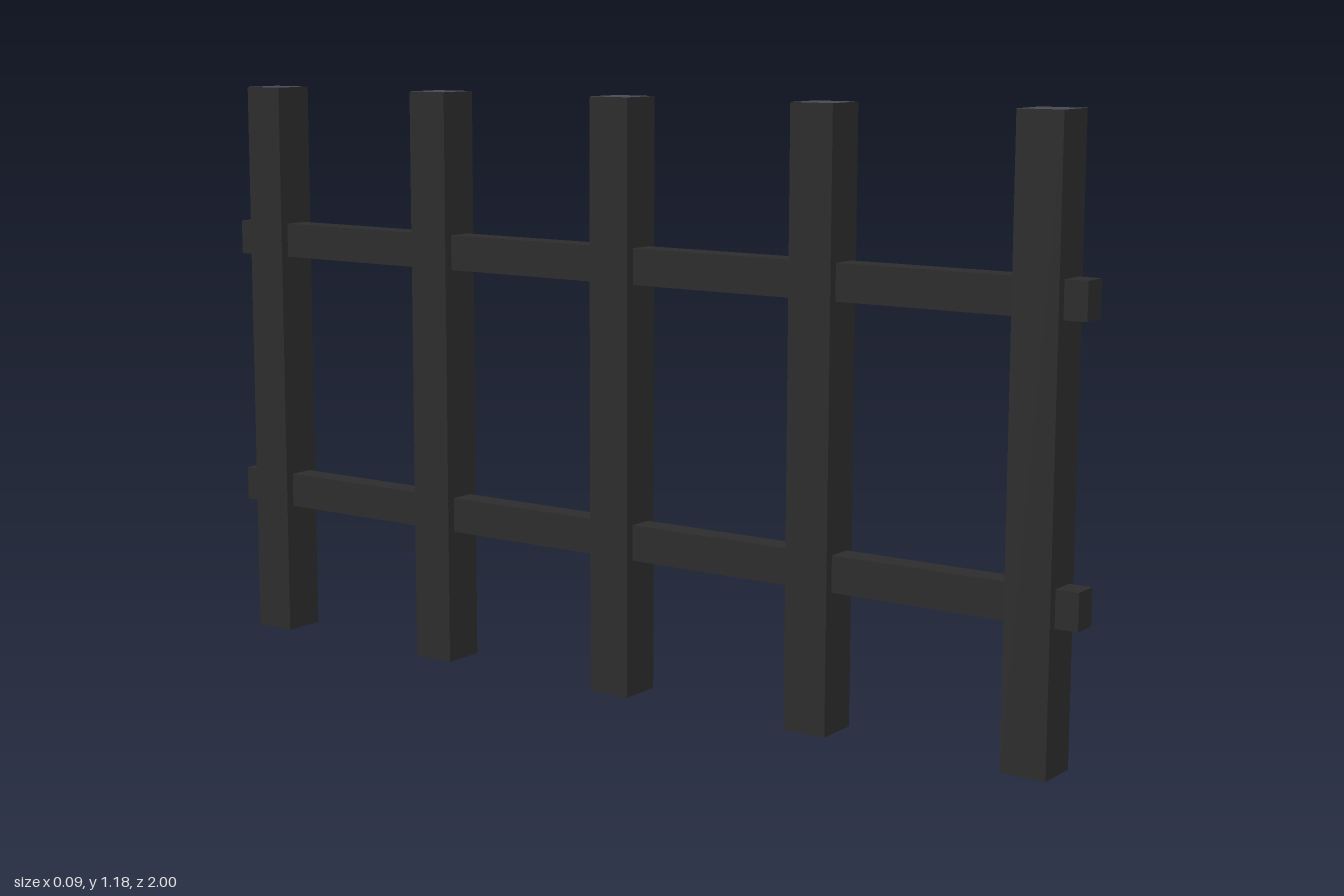
import * as THREE from 'three';

export function createModel() {
  const fence = new THREE.Group();
  fence.name = 'fence';

  const darkIron = new THREE.MeshStandardMaterial({ name: 'dark iron', color: 0x2d2d2d });
  const postTop = new THREE.MeshStandardMaterial({ name: 'slate post top', color: 0x4a4a58 });

  // Five square posts; only the upward face is slate
  const postHeight = 1.18;
  const postGeometry = new THREE.BoxGeometry(0.09, postHeight, 0.09);
  const postMaterials = [darkIron, darkIron, postTop, darkIron, darkIron, darkIron];
  for (let i = -2; i <= 2; i++) {
    const post = new THREE.Mesh(postGeometry, postMaterials);
    post.name = `post${i + 3}`;
    post.position.set(0, postHeight / 2, i * 0.455);
    fence.add(post);
  }

  // Two rails running through the posts and past the end ones
  const railGeometry = new THREE.BoxGeometry(0.053, 0.071, 2);
  for (const [name, y] of [['lowerRail', 0.31], ['upperRail', 0.855]]) {
    const rail = new THREE.Mesh(railGeometry, darkIron);
    rail.name = name;
    rail.position.y = y;
    fence.add(rail);
  }

  return fence;
}
